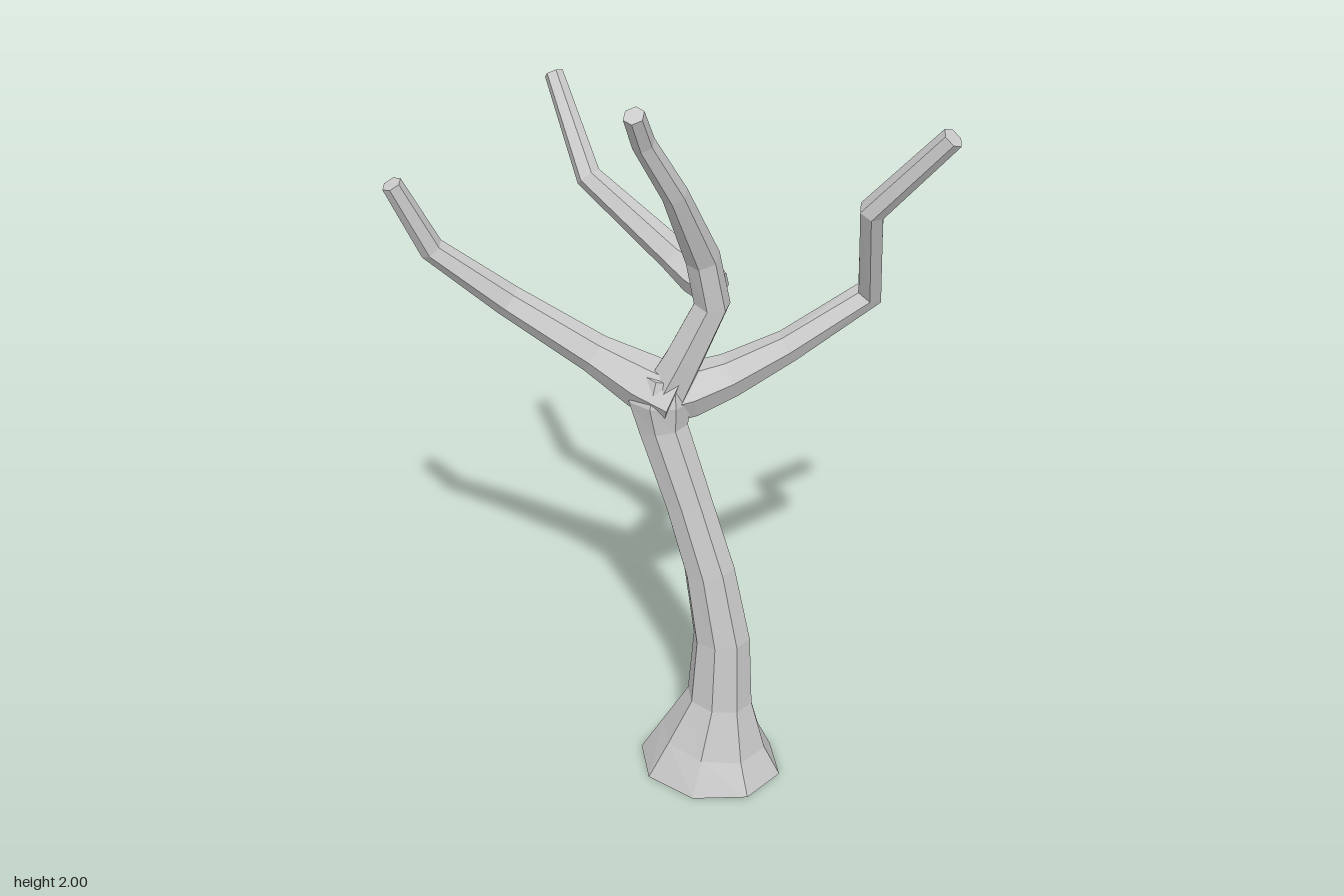
import * as THREE from 'three';

const material = new THREE.MeshStandardMaterial({ color: 0xcccccc, flatShading: true });

// Faceted tapering limb. Each station is [x, y, z, radius]; flat squeezes it in depth.
function limb(name, stations, sides, flat = 1, startDir = null) {
  const pts = stations.map(([x, y, z]) => new THREE.Vector3(x, y, z));
  const last = pts.length - 1;
  const normal = new THREE.Vector3(0, 0, 1);
  const pos = [], index = [];
  const dir = (a, b) => pts[b].clone().sub(pts[a]).normalize();

  pts.forEach((p, k) => {
    const t = new THREE.Vector3();
    if (k > 0) t.add(dir(k - 1, k));
    if (k < last) t.add(dir(k, k + 1));
    if (k === 0 && startDir) t.copy(startDir);
    t.normalize();
    // carry the ring's frame along the path so the facets do not twist
    normal.addScaledVector(t, -normal.dot(t)).normalize();
    const side = t.clone().cross(normal);
    const r = stations[k][3];
    for (let i = 0; i < sides; i++) {
      const a = (i / sides) * Math.PI * 2;
      const v = p.clone()
        .addScaledVector(normal, Math.cos(a) * r * flat)
        .addScaledVector(side, Math.sin(a) * r);
      pos.push(v.x, v.y, v.z);
    }
  });

  for (let k = 0; k < last; k++) {
    for (let i = 0; i < sides; i++) {
      const j = (i + 1) % sides;
      const a = k * sides + i, b = k * sides + j;
      index.push(a, b, a + sides, b, b + sides, a + sides);
    }
  }
  // end caps
  const top = last * sides;
  for (let i = 1; i < sides - 1; i++) {
    index.push(0, i + 1, i);
    index.push(top, top + i, top + i + 1);
  }

  const geometry = new THREE.BufferGeometry();
  geometry.setAttribute('position', new THREE.Float32BufferAttribute(pos, 3));
  geometry.setIndex(index);
  const flatGeometry = geometry.toNonIndexed();
  flatGeometry.computeVertexNormals();
  const mesh = new THREE.Mesh(flatGeometry, material);
  mesh.name = name;
  return mesh;
}

export function createModel() {
  const tree = new THREE.Group();
  tree.name = 'bareTree';

  // Leaning trunk with a flared foot
  tree.add(limb('trunk', [
    [0.105, 0, -0.02, 0.195],
    [0.115, 0.1, -0.018, 0.143],
    [0.132, 0.24, -0.012, 0.088],
    [0.135, 0.44, -0.012, 0.076],
    [0.1, 0.65, -0.01, 0.068],
    [0.042, 0.85, -0.01, 0.064],
    [-0.025, 1.06, -0.01, 0.067],
    [-0.035, 1.14, -0.012, 0.085],
    [-0.025, 1.21, -0.012, 0.062],
  ], 8, 0.84, new THREE.Vector3(0, 1, 0)));

  // Long branch sweeping to the right (-x)
  tree.add(limb('rightBranch', [
    [0.01, 1.145, -0.012, 0.075],
    [-0.08, 1.175, -0.015, 0.07],
    [-0.2, 1.228, -0.02, 0.05],
    [-0.41, 1.36, 0.012, 0.04],
    [-0.57, 1.51, 0.083, 0.031],
    [-0.635, 1.695, 0.138, 0.025],
  ], 6));

  // Elbowed branch to the left (+x) and back
  tree.add(limb('leftBranch', [
    [-0.04, 1.13, -0.015, 0.065],
    [0.03, 1.145, -0.055, 0.068],
    [0.12, 1.175, -0.105, 0.055],
    [0.25, 1.25, -0.158, 0.041],
    [0.43, 1.385, -0.235, 0.036],
    [0.452, 1.675, -0.09, 0.032],
    [0.628, 1.89, -0.065, 0.027],
  ], 6));

  // Main leader, bending forward towards the tip
  tree.add(limb('centreBranch', [
    [-0.025, 1.14, -0.012, 0.06],
    [0.03, 1.26, -0.015, 0.05],
    [0.093, 1.41, -0.03, 0.045],
    [0.076, 1.54, -0.005, 0.042],
    [0.042, 1.75, 0.108, 0.031],
    [-0.006, 1.9, 0.185, 0.027],
    [-0.012, 1.985, 0.233, 0.025],
  ], 6));

  // Side shoot growing from the leader
  tree.add(limb('upperSideBranch', [
    [0.1, 1.45, -0.03, 0.045],
    [0.045, 1.465, -0.065, 0.053],
    [-0.02, 1.495, -0.085, 0.041],
    [-0.23, 1.67, -0.085, 0.031],
    [-0.355, 1.865, -0.21, 0.023],
  ], 6));

  return tree;
}
